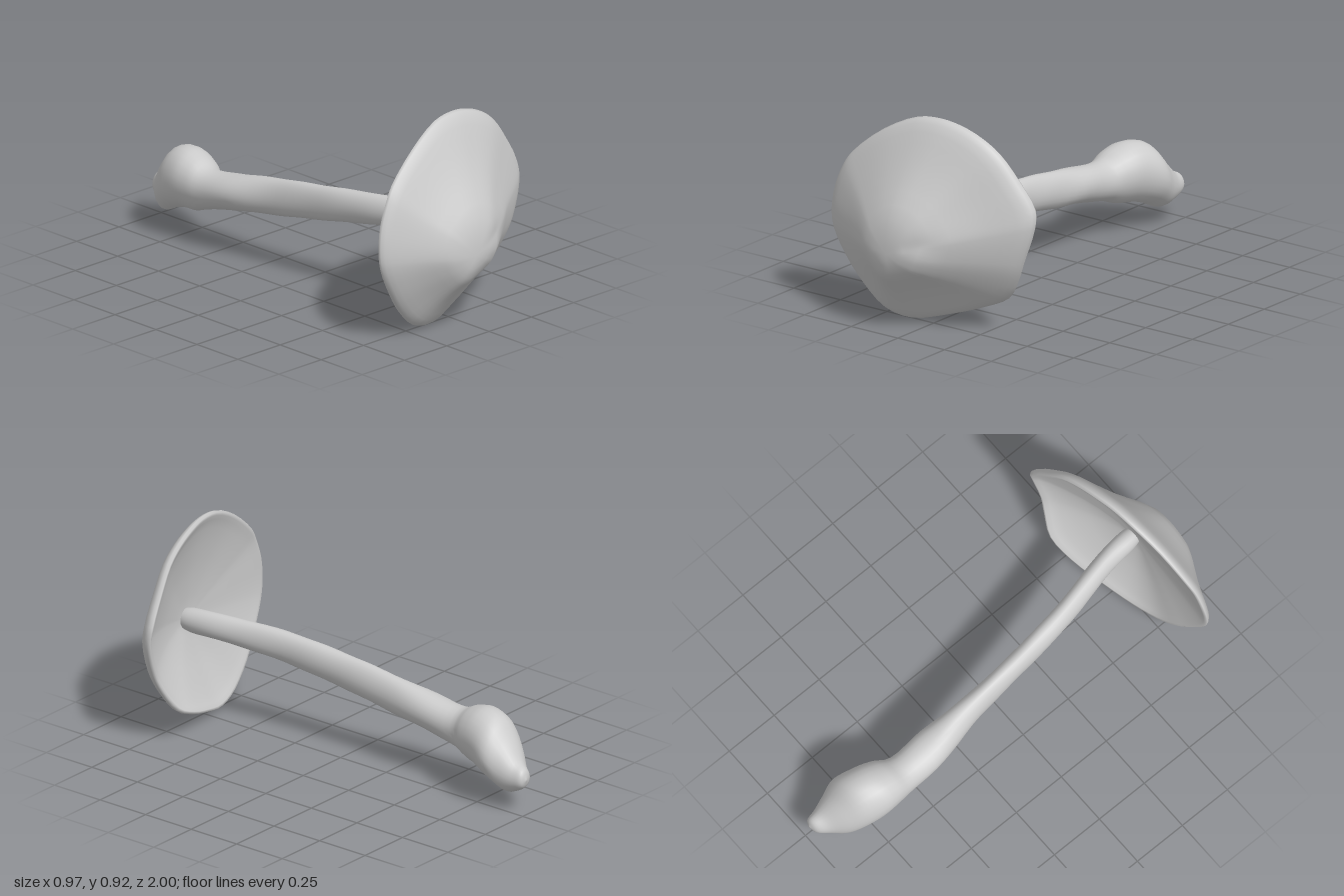
import * as THREE from 'three';
import { mergeVertices } from 'three/addons/utils/BufferGeometryUtils.js';

const V = (x, y, z) => new THREE.Vector3(x, y, z);

// Skin a list of closed rings (counter-clockwise seen from +z, outside facing out).
function loft(rings, name) {
  const n = rings[0].length, pos = [], idx = [];
  rings.forEach(r => r.forEach(p => pos.push(p.x, p.y, p.z)));
  for (let j = 0; j < rings.length - 1; j++) {
    for (let i = 0; i < n; i++) {
      const a = j * n + i, b = j * n + (i + 1) % n;
      idx.push(a, a + n, b, b, a + n, b + n);
    }
  }
  let geo = new THREE.BufferGeometry();
  geo.setAttribute('position', new THREE.Float32BufferAttribute(pos, 3));
  geo.setIndex(idx);
  geo = mergeVertices(geo);
  geo.computeVertexNormals();
  const mesh = new THREE.Mesh(geo, new THREE.MeshStandardMaterial({
    color: 0xcccccc, roughness: 0.8, side: THREE.DoubleSide }));
  mesh.name = name;
  return mesh;
}

function makeCap() {
  // Wavy rim outline, counter-clockwise from the +x side
  const rim = new THREE.CatmullRomCurve3([
    [0.48, 0.5, 0.66], [0.475, 0.58, 0.65], [0.4, 0.7, 0.665], [0.31, 0.81, 0.685],
    [0.22, 0.87, 0.70], [0.12, 0.908, 0.715], [0.03, 0.923, 0.73], [-0.08, 0.913, 0.745],
    [-0.24, 0.835, 0.775], [-0.39, 0.71, 0.8], [-0.43, 0.65, 0.81], [-0.47, 0.55, 0.815],
    [-0.485, 0.45, 0.82], [-0.475, 0.36, 0.82], [-0.41, 0.23, 0.805], [-0.335, 0.125, 0.785],
    [-0.23, 0.03, 0.765], [-0.11, 0.002, 0.735], [0.04, 0.036, 0.69], [0.2, 0.09, 0.645],
    [0.32, 0.15, 0.63], [0.39, 0.25, 0.655], [0.43, 0.34, 0.67],
  ].map(p => V(...p)), true).getPoints(69).slice(0, 69);

  // [fraction of the way to the rim, fraction of the drop from the apex]
  const outer = [[0, 0], [0.08, 0.005], [0.16, 0.02], [0.28, 0.07], [0.38, 0.18], [0.48, 0.31],
    [0.6, 0.46], [0.72, 0.59], [0.82, 0.69], [0.9, 0.77], [0.96, 0.84], [0.99, 0.91], [1, 0.97]];
  const inner = [[0.985, 1.01], [0.96, 1], [0.92, 0.9], [0.84, 0.75], [0.7, 0.56],
    [0.55, 0.38], [0.4, 0.23], [0.2, 0.08], [0, 0]];
  const ring = (apex, [t, drop]) => rim.map(p => {
    const q = apex.clone().lerp(p, t);
    q.z = apex.z + (p.z - apex.z) * drop;
    return q;
  });
  const top = outer.map(o => ring(V(-0.07, 0.36, 0.995), o));
  // Small dent beside the crown
  top.flat().forEach(p => {
    p.z -= 0.018 * Math.exp(-((p.x - 0.1) ** 2 + (p.y - 0.42) ** 2) / 0.002);
  });
  return loft([...top, ...inner.map(o => ring(V(0, 0.42, 0.84), o))], 'cap');
}

function makeStem() {
  // Sections along the stem: centre x, y, z, half width, half height
  const s = [
    [0.02, 0.425, 0.87, 0.03, 0.035], [0.015, 0.425, 0.8, 0.045, 0.055],
    [0, 0.425, 0.66, 0.045, 0.058], [-0.055, 0.405, 0.4, 0.045, 0.068],
    [-0.08, 0.38, 0.2, 0.045, 0.075], [-0.095, 0.35, 0, 0.045, 0.08],
    [-0.105, 0.318, -0.2, 0.055, 0.083], [-0.12, 0.287, -0.4, 0.082, 0.08],
    [-0.123, 0.258, -0.56, 0.083, 0.088], [-0.11, 0.262, -0.64, 0.105, 0.118],
    [-0.097, 0.265, -0.72, 0.12, 0.134], [-0.075, 0.238, -0.81, 0.122, 0.138],
    [-0.063, 0.185, -0.88, 0.095, 0.115], [-0.043, 0.16, -0.94, 0.06, 0.068],
    [-0.03, 0.16, -0.985, 0.036, 0.04], [-0.025, 0.16, -1, 0.004, 0.005],
  ];
  const spline = f => new THREE.CatmullRomCurve3(s.map(f), false, 'catmullrom', 0.5);
  const centre = spline(p => V(p[0], p[1], p[2]));
  const radius = spline(p => V(p[3], p[4], 0));
  const steps = 60, sides = 24, rings = [];
  for (let j = 0; j <= steps; j++) {
    const c = centre.getPoint(j / steps), r = radius.getPoint(j / steps);
    // Gentle lumps along the surface
    rings.push(Array.from({ length: sides }, (_, i) => {
      const a = i / sides * Math.PI * 2;
      const k = 1 + 0.03 * Math.sin(3 * a + c.z * 9) * Math.sin(c.z * 17);
      return V(c.x + r.x * k * Math.cos(a), c.y + r.y * k * Math.sin(a), c.z);
    }));
  }
  // Close both ends
  const end = r => r.map(() => r.reduce((m, p) => m.add(p), V(0, 0, 0)).divideScalar(sides));
  return loft([end(rings[0]), ...rings, end(rings[steps])], 'stem');
}

export function createModel() {
  const group = new THREE.Group();
  group.name = 'mushroom';
  group.add(makeCap(), makeStem());
  return group;
}
